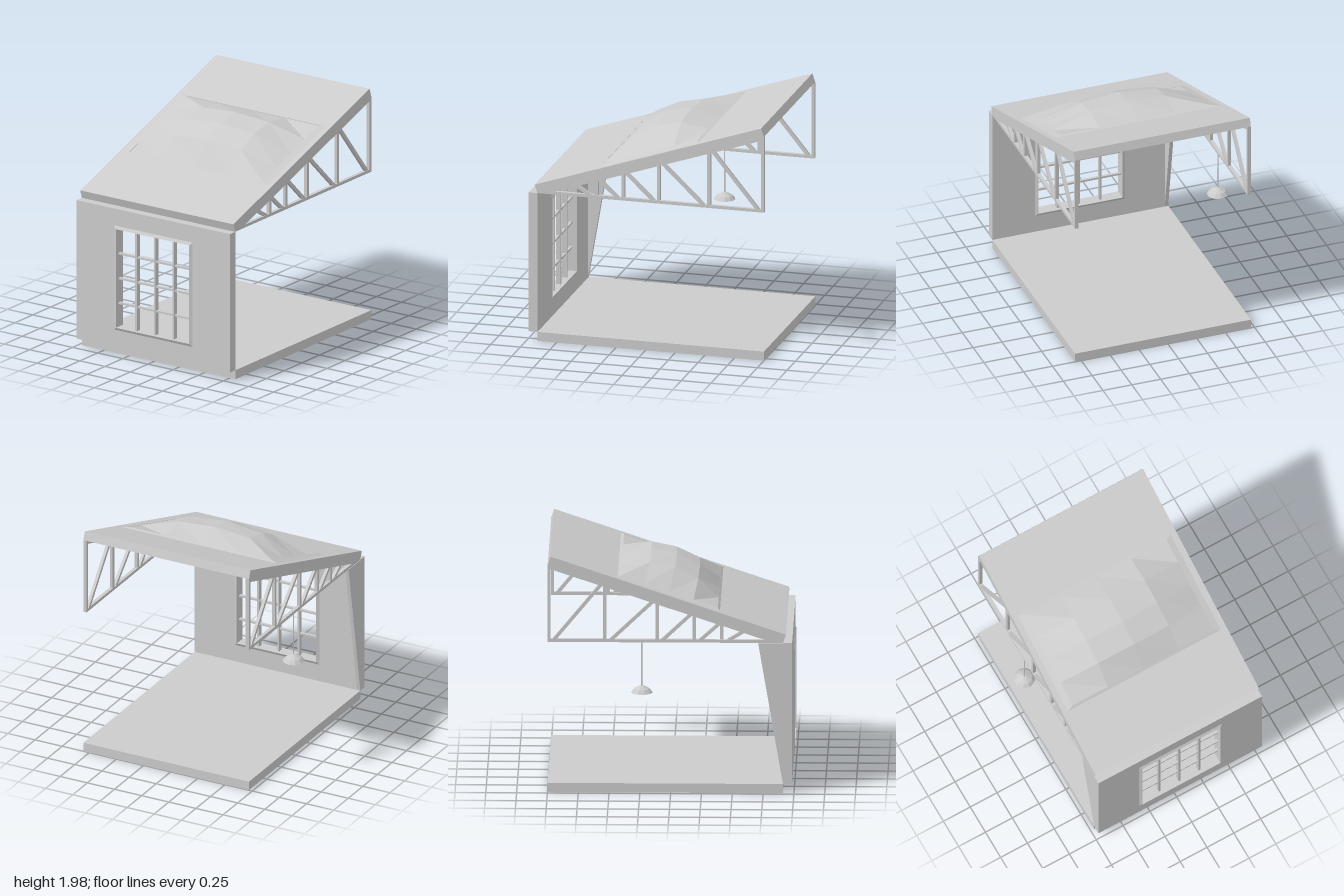
import * as THREE from 'three';

const Z0 = -0.72, Z1 = 0.805;
const grey = new THREE.MeshStandardMaterial({ color: 0xcccccc, flatShading: true });
const greyDouble = new THREE.MeshStandardMaterial({ color: 0xcccccc, flatShading: true, side: THREE.DoubleSide });

function add(parent, name, geometry, material = grey) {
  const mesh = new THREE.Mesh(geometry, material);
  mesh.name = name;
  parent.add(mesh);
  return mesh;
}

// Box given by its minimum and maximum on each axis
function box(parent, name, x0, x1, y0, y1, z0, z1) {
  const mesh = add(parent, name, new THREE.BoxGeometry(x1 - x0, y1 - y0, z1 - z0));
  mesh.position.set((x0 + x1) / 2, (y0 + y1) / 2, (z0 + z1) / 2);
  return mesh;
}

// Flat outline in x/y, extruded from z0 to z1
function plate(parent, name, points, z0, z1) {
  const shape = new THREE.Shape(points.map(([x, y]) => new THREE.Vector2(x, y)));
  const mesh = add(parent, name, new THREE.ExtrudeGeometry(shape, { depth: z1 - z0, bevelEnabled: false }));
  mesh.position.z = z0;
  return mesh;
}

// Corners of a rectangle, counter-clockwise, with u along x
const rect = (u0, u1, v0, v1) => [[u0, v0], [u1, v0], [u1, v1], [u0, v1]].map(([u, v]) => new THREE.Vector2(u, v));

// Slab lying along local x with its outer face at y = 0 and a rectangular opening
function panel(name, length, thickness, { u0, u1, z0, z1 }) {
  const g = 0.01;
  const shape = new THREE.Shape(rect(0, length, -Z1, -Z0));
  shape.holes.push(new THREE.Path(rect(u0 - g, u1 + g, -z1 - g, -z0 + g).reverse()));
  const geo = new THREE.ExtrudeGeometry(shape, { depth: thickness, bevelEnabled: false });
  geo.rotateX(-Math.PI / 2).translate(0, -thickness, 0);
  const group = new THREE.Group();
  group.name = name;
  add(group, name + 'Slab', geo);
  return group;
}

// Bevelled trim lining an opening; rings are [margin along u, margin along z, height]
function openingTrim(parent, name, { u0, u1, z0, z1 }, rings) {
  const pos = [], index = [];
  for (const [mu, mz, y] of rings)
    for (const p of rect(u0 - mu, u1 + mu, z0 - mz, z1 + mz)) pos.push(p.x, y, p.y);
  for (let r = 0; r < rings.length - 1; r++)
    for (let i = 0; i < 4; i++) {
      const a = r * 4 + i, b = r * 4 + (i + 1) % 4;
      index.push(a, a + 4, b, b, a + 4, b + 4);
    }
  const geo = new THREE.BufferGeometry();
  geo.setAttribute('position', new THREE.Float32BufferAttribute(pos, 3));
  geo.setIndex(index);
  const flat = geo.toNonIndexed();
  flat.computeVertexNormals();
  add(parent, name, flat, greyDouble);
}

// Straight truss member between two points in the x/y plane
function strut(parent, name, [ax, ay], [bx, by], width, z) {
  const mesh = add(parent, name, new THREE.BoxGeometry(Math.hypot(bx - ax, by - ay), width, 0.026));
  mesh.position.set((ax + bx) / 2, (ay + by) / 2, z);
  mesh.rotation.z = Math.atan2(by - ay, bx - ax);
}

function makeTruss(z) {
  const g = new THREE.Group();
  g.name = 'truss';
  const d = 0.015, slope = 0.338;
  const under = x => 1.26 + (x + 0.91) * slope; // underside of the roof
  plate(g, 'topChord', [[-0.91, 1.26], [-0.84, 1.26], [1, under(1) - 0.028], [1, under(1)]], z - d, z + d);
  box(g, 'bottomChord', -0.91, 1, 1.26, 1.285, z - d, z + d);
  box(g, 'endPost', 0.975, 1, 1.26, under(0.985), z - d, z + d);
  for (const x of [-0.415, -0.19, 0.11, 0.535])
    box(g, 'post', x - 0.014, x + 0.014, 1.275, under(x) - 0.012, z - 0.013, z + 0.013);
  const diagonals = [[-0.59, -0.46], [-0.395, -0.235], [-0.165, 0.07], [0.145, 0.49], [0.565, 0.95]];
  for (const [top, foot] of diagonals)
    strut(g, 'diagonal', [top, under(top) - 0.015], [foot, 1.275], 0.028, z);
  return g;
}

export function createModel() {
  const model = new THREE.Group();
  model.name = 'pavilion';

  box(model, 'floor', -0.91, 1, 0, 0.077, Z0, Z1);

  // Wall with barred window
  const opening = { u0: 0.172, u1: 1.015, z0: -0.32, z1: 0.41 };
  const wall = panel('wall', 1.183, 0.075, opening);
  wall.position.set(-0.985, 0.077, 0);
  wall.rotation.z = Math.PI / 2;
  const m = 0.024, t = 0.075, h = 0.014;
  openingTrim(wall, 'windowTrim', opening, [[m, m, 0], [0, 0, h], [0, 0, -t - h], [m, m, -t]]);
  model.add(wall);
  for (const z of [0.23, 0.045, -0.14])
    box(model, 'windowUpright', -0.968, -0.928, 0.24, 1.1, z - 0.009, z + 0.009);
  for (const y of [0.45, 0.66, 0.873])
    box(model, 'windowCrossbar', -0.96, -0.936, y - 0.008, y + 0.008, -0.33, 0.42);

  // Tapered bracket at the back end of the wall
  plate(model, 'wallBracket', [[-0.91, 0.08], [-0.71, 1.255], [-0.91, 1.255]], Z0, Z0 + 0.03);

  // Sloping roof with a skylight opening
  const hole = { u0: 0.588, u1: 1.42, z0: -0.62, z1: 0.70 };
  const roof = panel('roof', 2.016, 0.074, hole);
  roof.position.set(-0.935, 1.33, 0);
  roof.rotation.z = Math.atan2(0.645, 1.91);
  openingTrim(roof, 'skylightTrim', hole,
    [[0.022, 0.053, 0], [0, 0, 0.012], [0, 0, -0.086], [0.022, 0.022, -0.074]]);
  model.add(roof);

  // Faceted skylight dome
  const dome = new THREE.PlaneGeometry(hole.u1 - hole.u0, hole.z1 - hole.z0, 4, 4).rotateX(-Math.PI / 2);
  const bulge = s => [1, 0.8, 0][Math.round(Math.abs(s) * 2)];
  const p = dome.attributes.position;
  for (let i = 0; i < p.count; i++) {
    const a = p.getX(i) / ((hole.u1 - hole.u0) / 2), b = p.getZ(i) / ((hole.z1 - hole.z0) / 2);
    p.setY(i, 0.01 + 0.157 * bulge(a) * bulge(b));
  }
  dome.computeVertexNormals();
  add(roof, 'skylightDome', dome, greyDouble)
    .position.set((hole.u0 + hole.u1) / 2, 0, (hole.z0 + hole.z1) / 2);

  // Trusses under both roof edges
  model.add(makeTruss(Z0 + 0.015), makeTruss(Z1 - 0.015));

  // Hanging lamp
  const lamp = new THREE.Group();
  lamp.name = 'lamp';
  lamp.position.set(0.235, 0, -0.72);
  const profile = [[0, 0.885], [0.05, 0.867], [0.08, 0.842], [0.09, 0.842], [0.066, 0.872], [0.02, 0.897], [0, 0.9]]
    .map(([r, y]) => new THREE.Vector2(r, y));
  add(lamp, 'lampShade', new THREE.LatheGeometry(profile, 10), greyDouble).rotation.y = Math.PI / 2;
  add(lamp, 'lampCord', new THREE.CylinderGeometry(0.004, 0.006, 0.38, 8)).position.y = 1.08;
  model.add(lamp);

  return model;
}
